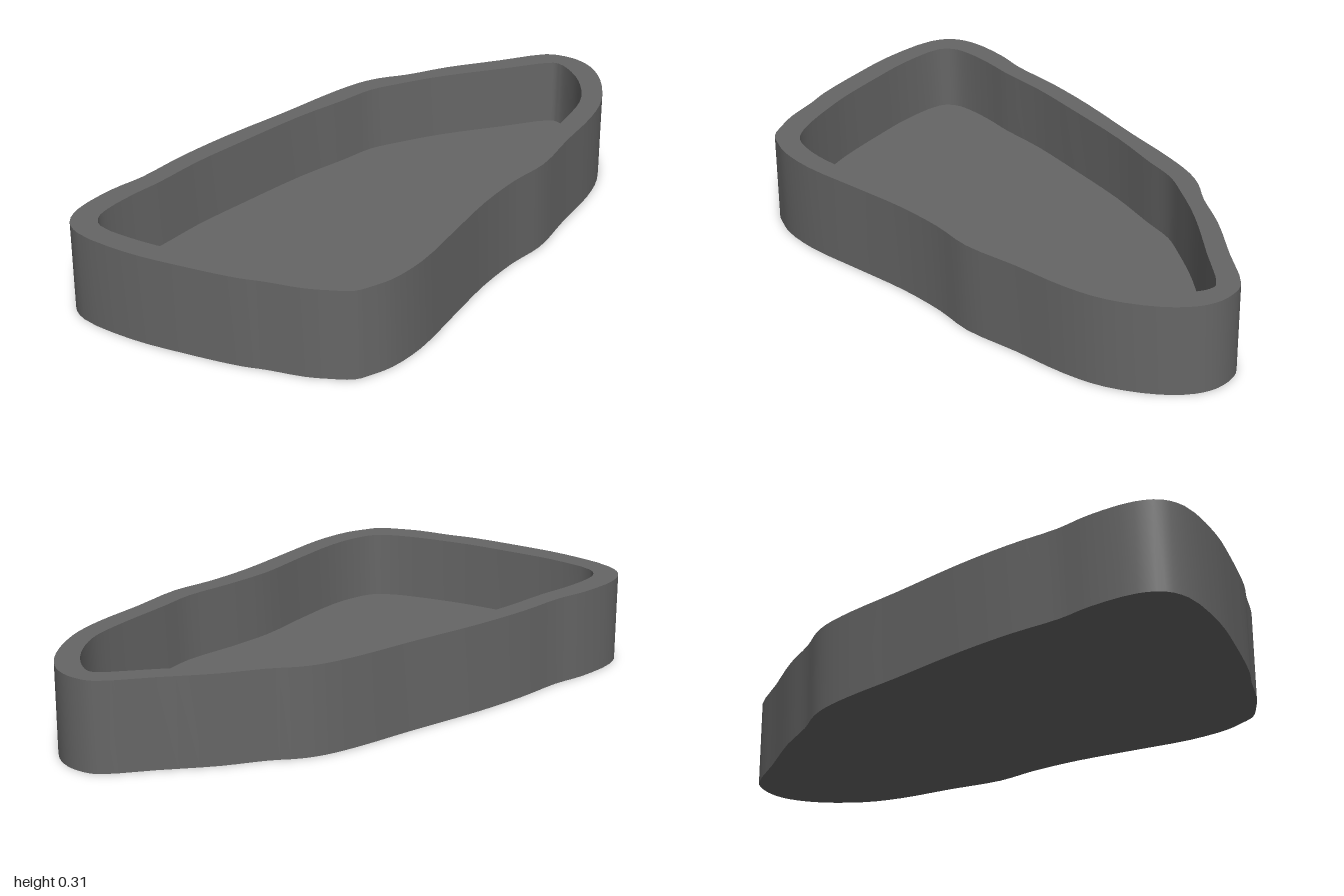
import * as THREE from 'three';
import { toCreasedNormals } from 'three/addons/utils/BufferGeometryUtils.js';

const HEIGHT = 0.315;
const FLOOR = 0.08;

// Plan outlines as x, z pairs, starting at the narrow back end
const OUTER = [
  0.15, -0.98, 0.20, -1, 0.27, -1, 0.34, -0.97, 0.42, -0.89, 0.50, -0.74,
  0.53, -0.60, 0.54, -0.40, 0.555, -0.20, 0.53, -0.05, 0.52, 0.13, 0.53, 0.34,
  0.54, 0.56, 0.52, 0.70, 0.49, 0.77, 0.46, 0.82, 0.39, 0.86, 0.32, 0.89,
  0.20, 0.92, 0.12, 0.945, -0.08, 0.98, -0.26, 1, -0.46, 0.985, -0.53, 0.94,
  -0.56, 0.86, -0.55, 0.70, -0.52, 0.58, -0.50, 0.40, -0.46, 0.19, -0.39, -0.08,
  -0.34, -0.29, -0.30, -0.41, -0.26, -0.48, -0.19, -0.56, -0.10, -0.69, 0.03, -0.84,
];
const INNER = [
  0.21, -0.93, 0.24, -0.93, 0.28, -0.91, 0.34, -0.86, 0.40, -0.78, 0.44, -0.69,
  0.46, -0.53, 0.47, -0.34, 0.48, -0.21, 0.455, -0.03, 0.44, 0.15, 0.455, 0.34,
  0.465, 0.55, 0.45, 0.66, 0.42, 0.735, 0.37, 0.775, 0.29, 0.81, 0.16, 0.85,
  0.08, 0.87, -0.10, 0.90, -0.26, 0.92, -0.43, 0.91, -0.47, 0.87, -0.48, 0.81,
  -0.47, 0.69, -0.45, 0.58, -0.43, 0.40, -0.39, 0.20, -0.33, -0.07, -0.27, -0.26,
  -0.235, -0.38, -0.18, -0.47, -0.08, -0.61, 0.08, -0.79,
];

// Closed smooth curve; shape y is -z, so that the extrusion can be tipped upright
function outline(coords) {
  const knots = [];
  for (let i = 0; i < coords.length; i += 2) {
    knots.push(new THREE.Vector3(coords[i], -coords[i + 1], 0));
  }
  const points = new THREE.CatmullRomCurve3(knots, true).getPoints(knots.length * 3);
  return points.slice(0, -1).map((p) => new THREE.Vector2(p.x, p.y));
}

function extrudeUp(name, shape, depth, material) {
  const geometry = new THREE.ExtrudeGeometry(shape, { depth, bevelEnabled: false });
  geometry.rotateX(-Math.PI / 2);
  const mesh = new THREE.Mesh(toCreasedNormals(geometry, 0.8), material);
  mesh.name = name;
  return mesh;
}

export function createModel() {
  const group = new THREE.Group();
  group.name = 'tray';
  const material = new THREE.MeshStandardMaterial({ color: 0x666666 });

  // Wall: full-height ring around the tray, its hole wound against the outer edge
  const wallShape = new THREE.Shape(outline(OUTER));
  wallShape.holes.push(new THREE.Path(outline(INNER).reverse()));
  group.add(extrudeUp('wall', wallShape, HEIGHT, material));

  // Floor: plate filling the bottom of the ring
  group.add(extrudeUp('floor', new THREE.Shape(outline(INNER)), FLOOR, material));

  return group;
}
